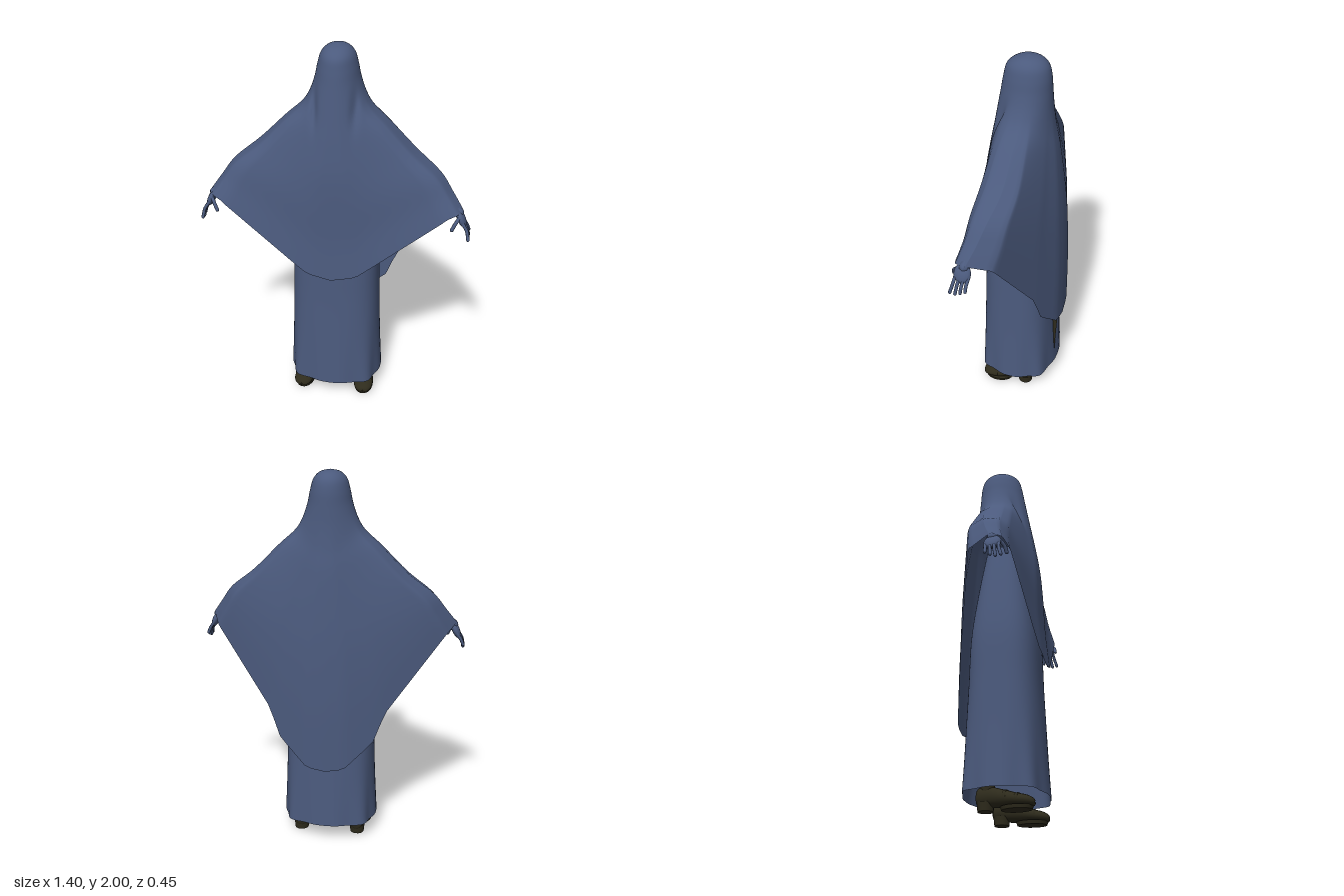
import * as THREE from 'three';

const cloth = new THREE.MeshStandardMaterial({ color: 0x4b5a7d, side: THREE.DoubleSide });
cloth.name = 'blueCloth';
const leather = new THREE.MeshStandardMaterial({ color: 0x2e2b1c });
leather.name = 'darkLeather';

const V = (x, y, z) => new THREE.Vector3(x, y, z);

function add(parent, name, geometry, material) {
  const mesh = new THREE.Mesh(geometry, material);
  mesh.name = name;
  parent.add(mesh);
  return mesh;
}

// Smooth surface through closed loops; point(t, angle) gives a position
function loft(rows, cols, point) {
  const pos = [], index = [];
  for (let i = 0; i <= rows; i++) {
    for (let j = 0; j < cols; j++) {
      const p = point(i / rows, (j / cols) * Math.PI * 2);
      pos.push(p.x, p.y, p.z);
      if (i === rows) continue;
      const a = i * cols + j, b = i * cols + (j + 1) % cols;
      index.push(a, b, a + cols, b, b + cols, a + cols);
    }
  }
  const g = new THREE.BufferGeometry();
  g.setAttribute('position', new THREE.Float32BufferAttribute(pos, 3));
  g.setIndex(index);
  g.computeVertexNormals();
  return g;
}

// Straight-line lookup through [input, output] pairs
function lookup(pairs, v) {
  let i = 1;
  while (i < pairs.length - 1 && v > pairs[i][0]) i++;
  const [a, b] = [pairs[i - 1], pairs[i]];
  return THREE.MathUtils.mapLinear(v, a[0], b[0], a[1], b[1]);
}

// Rise of the cloth and its depth, from the middle (0) to the sleeve tip (1)
const FRONT = {
  rise: [[0, 0], [0.2, 0.07], [0.34, 0.24], [0.89, 0.93], [1, 1]],
  depth: [[0, 1], [0.16, 0.99], [0.36, 0.87], [0.85, 0.61], [0.97, 0.42], [1, 0]],
};
const BACK = {
  rise: [[0, 0], [0.15, 0.02], [0.38, 0.21], [0.47, 0.42], [0.92, 0.95], [1, 1]],
  depth: [[0, 1], [0.16, 0.98], [0.46, 0.76], [0.92, 0.38], [1, 0]],
};

// Veil and cape: loops that run from the crown down to the slanting hem
function capeGeometry() {
  // half width, side y, side z, front y, front z, back y, back z
  const rings = [
    [0.001, 2.0, -0.02, 2.0, -0.019, 2.0, -0.021],
    [0.05, 1.988, -0.02, 1.985, 0.04, 1.988, -0.08],
    [0.083, 1.955, -0.02, 1.95, 0.085, 1.955, -0.117],
    [0.1, 1.9, -0.02, 1.89, 0.102, 1.9, -0.132],
    [0.114, 1.835, -0.02, 1.81, 0.116, 1.82, -0.137],
    [0.14, 1.76, -0.02, 1.72, 0.132, 1.73, -0.143],
    [0.18, 1.695, -0.02, 1.63, 0.148, 1.62, -0.157],
    [0.265, 1.617, -0.02, 1.52, 0.167, 1.5, -0.177],
    [0.4, 1.483, -0.015, 1.37, 0.188, 1.3, -0.198],
    [0.53, 1.378, 0.02, 1.2, 0.197, 1.08, -0.214],
    [0.597, 1.29, 0.05, 1.0, 0.203, 0.78, -0.224],
    [0.655, 1.21, 0.085, 0.79, 0.22, 0.44, -0.224],
  ];
  const side = new THREE.CatmullRomCurve3(rings.map(r => V(r[0], r[1], r[2])), false, 'catmullrom');
  const front = new THREE.CatmullRomCurve3(rings.map(r => V(0, r[3], r[4])), false, 'catmullrom');
  const back = new THREE.CatmullRomCurve3(rings.map(r => V(0, r[5], r[6])), false, 'catmullrom');
  return loft(55, 112, (t, angle) => {
    const c = Math.cos(angle), s = Math.sin(angle), h = Math.abs(c);
    const shape = s >= 0 ? FRONT : BACK;
    const edge = side.getPoint(t), mid = (s >= 0 ? front : back).getPoint(t);
    // round at the head, draped lower down
    const drape = THREE.MathUtils.smoothstep(t, 0.4, 0.75);
    const rise = THREE.MathUtils.lerp(Math.pow(h, 1.28), lookup(shape.rise, h), drape);
    const depth = THREE.MathUtils.lerp(Math.abs(s), lookup(shape.depth, h), drape);
    const x = edge.x * c;
    const y = mid.y + (edge.y - mid.y) * rise;
    let z = edge.z + (mid.z - edge.z) * depth;
    // folds beside the neck
    if (s > 0) z -= 0.02 * Math.exp(-(((Math.abs(x) - 0.1) / 0.018) ** 2) - ((y - 1.7) / 0.09) ** 2);
    return V(x, y, z);
  });
}

// Long robe: rounded oblong section, rippling towards the hem
function robeGeometry() {
  const profile = new THREE.CatmullRomCurve3([
    V(0.13, 1.45, 0.1), V(0.18, 1.2, 0.14), V(0.222, 0.92, 0.174),
    V(0.232, 0.65, 0.183), V(0.24, 0.38, 0.195), V(0.25, 0.098, 0.208),
  ]);
  const bend = v => Math.sign(v) * Math.pow(Math.abs(v), 0.72);
  return loft(24, 80, (t, angle) => {
    const p = profile.getPoint(t);
    const ripple = 1 + 0.03 * Math.max(0, (t - 0.6) / 0.4) ** 2 * Math.cos(angle * 8);
    return V(p.x * bend(Math.cos(angle)) * ripple, p.y, 0.012 + p.z * bend(Math.sin(angle)) * ripple);
  });
}

// Gloved hand hanging below the sleeve
function makeHand(s) {
  const hand = new THREE.Group();
  hand.name = s > 0 ? 'leftHand' : 'rightHand';
  const tube = (name, pts, r) => {
    const curve = new THREE.CatmullRomCurve3(pts.map(([x, y, z]) => V(s * x, y, z)));
    add(hand, name, new THREE.TubeGeometry(curve, 8, r, 8), cloth);
    const tip = add(hand, name + 'Tip', new THREE.SphereGeometry(r, 8, 6), cloth);
    tip.position.copy(curve.getPoint(1));
  };
  tube('forearm', [[0.5, 1.3, 0.06], [0.58, 1.24, 0.08], [0.635, 1.195, 0.095]], 0.027);
  const palm = add(hand, 'palm', new THREE.SphereGeometry(1, 16, 12), cloth);
  palm.position.set(s * 0.65, 1.165, 0.1);
  palm.scale.set(0.02, 0.05, 0.043);
  palm.rotation.z = s * 0.45;
  for (let i = 0; i < 4; i++) {
    const z = 0.066 + i * 0.022, drop = [0.025, 0.01, 0, 0.004][i];
    tube('finger', [[0.655, 1.155, z], [0.682, 1.115, z + 0.007], [0.692, 1.066 + drop, z + 0.008 + i * 0.004]], 0.0085);
  }
  tube('thumb', [[0.64, 1.18, 0.13], [0.622, 1.155, 0.152], [0.608, 1.125, 0.16]], 0.0095);
  return hand;
}

// Low shoe with heel, sole and straps
function makeShoe(s) {
  const shoe = new THREE.Group();
  shoe.name = s > 0 ? 'leftShoe' : 'rightShoe';
  const sections = [ // half width, middle height, z, half height
    [0.004, 0.065, -0.102, 0.01], [0.034, 0.07, -0.088, 0.046], [0.04, 0.07, -0.03, 0.05],
    [0.046, 0.06, 0.03, 0.044], [0.054, 0.046, 0.1, 0.036], [0.049, 0.038, 0.155, 0.029],
    [0.03, 0.033, 0.182, 0.018], [0.003, 0.032, 0.19, 0.004],
  ];
  const path = new THREE.CatmullRomCurve3(sections.map(q => V(q[0], q[1], q[2])), false, 'catmullrom');
  const high = new THREE.CatmullRomCurve3(sections.map(q => V(0, q[3], 0)), false, 'catmullrom');
  add(shoe, 'upper', loft(28, 24, (t, a) => {
    const p = path.getPoint(t);
    return V(p.x * Math.cos(a), p.y + high.getPoint(t).y * Math.sin(a), p.z);
  }), leather);
  const sole = add(shoe, 'sole', new THREE.CylinderGeometry(1, 0.92, 0.018, 24), leather);
  sole.scale.set(0.055, 1, 0.082);
  sole.position.set(0, 0.009, 0.1);
  const heel = add(shoe, 'heel', new THREE.CylinderGeometry(0.042, 0.038, 0.045, 16), leather);
  heel.position.set(0, 0.0235, -0.055);
  for (const [z, y, w, h] of [[0.05, 0.056, 0.048, 0.041], [0.11, 0.044, 0.053, 0.035]]) {
    const strap = add(shoe, 'strap', new THREE.TorusGeometry(1, 0.07, 6, 24, Math.PI), leather);
    strap.position.set(0, y, z);
    strap.scale.set(w, h, 0.12);
  }
  const ankle = add(shoe, 'ankle', new THREE.CylinderGeometry(0.036, 0.034, 0.07, 16), leather);
  ankle.position.set(0, 0.12, -0.045);
  shoe.position.x = s * 0.162;
  shoe.rotation.y = s * 0.08;
  return shoe;
}

export function createModel() {
  const model = new THREE.Group();
  model.name = 'robedFigure';
  add(model, 'veilAndCape', capeGeometry(), cloth);
  add(model, 'robe', robeGeometry(), cloth);
  // narrow dark fold at the back of the robe, facing the left side
  const fold = add(model, 'robeFold', new THREE.PlaneGeometry(0.036, 0.34), leather);
  fold.position.set(0.05, 0.34, -0.185);
  fold.rotation.set(-0.05, Math.PI / 2, 0, 'XYZ');
  for (const s of [1, -1]) model.add(makeHand(s), makeShoe(s));
  return model;
}
